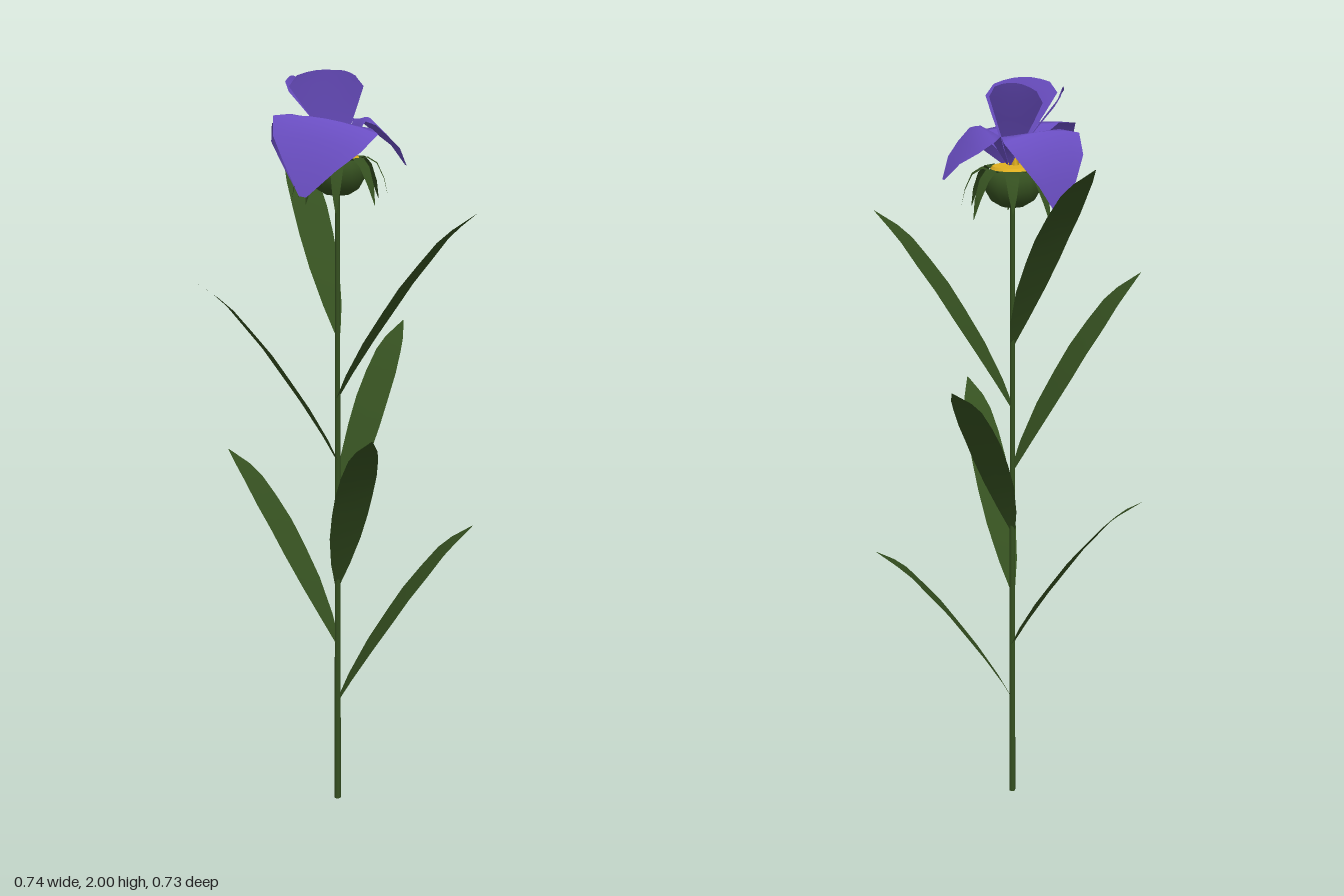
import * as THREE from 'three';

const mat = (name, color, side = THREE.FrontSide) => {
  const m = new THREE.MeshStandardMaterial({ color, side });
  m.name = name;
  return m;
};

// Blade swept outwards from the axis; rows are [radius, y, halfWidth, edgeLift].
function bladeGeometry(rows, across = 4) {
  const pos = [], idx = [], n = across + 1;
  rows.forEach(([r, y, w, lift = 0], i) => {
    for (let j = 0; j < n; j++) {
      const u = (j / across) * 2 - 1;
      pos.push(r, y + lift * u * u, -u * w);
      if (i && j) {
        const a = i * n + j;
        idx.push(a - n - 1, a - n, a, a - n - 1, a, a - 1);
      }
    }
  });
  const g = new THREE.BufferGeometry();
  g.setAttribute('position', new THREE.Float32BufferAttribute(pos, 3));
  g.setIndex(idx);
  g.computeVertexNormals();
  return g;
}

export function createModel() {
  const model = new THREE.Group();
  const green = mat('leaf green', 0x355020, THREE.DoubleSide);
  const purple = mat('petal purple', 0x6a4ec2, THREE.DoubleSide);
  const yellow = mat('pollen yellow', 0xe0b020);

  const add = (name, geometry, material, x = 0, y = 0, z = 0) => {
    const mesh = new THREE.Mesh(geometry, material);
    mesh.name = name;
    mesh.position.set(x, y, z);
    model.add(mesh);
    return mesh;
  };
  // Azimuth in degrees, measured from +x towards +z
  const turn = (mesh, degrees) => { mesh.rotation.y = -THREE.MathUtils.degToRad(degrees); };

  const axis = -0.004; // the stem stands slightly off centre in x and z
  add('stem', new THREE.CylinderGeometry(0.006, 0.009, 1.71, 8), green, axis, 0.855, axis);

  // Seven leaves climbing the stem in a golden-angle spiral
  const leaf = bladeGeometry([
    [0, 0, 0.008], [0.035, 0.068, 0.026], [0.09, 0.16, 0.042], [0.145, 0.242, 0.048],
    [0.19, 0.308, 0.049], [0.24, 0.37, 0.046], [0.285, 0.425, 0.038],
    [0.32, 0.457, 0.027], [0.373, 0.496, 0.001],
  ], 2);
  for (let i = 0; i < 7; i++) {
    turn(add('leaf', leaf, green, axis, 0.3 + i * 0.173, axis), -i * 137.5);
  }

  // Calyx bulb with recurved sepals
  const bulb = [[0, -0.052], [0.03, -0.048], [0.055, -0.033], [0.071, -0.005],
    [0.07, 0.022], [0.058, 0.04], [0, 0.045]].map(([x, y]) => new THREE.Vector2(x, y));
  add('calyx', new THREE.LatheGeometry(bulb, 16), green, axis, 1.742, axis);
  for (let i = 0; i < 8; i++) {
    const drop = (i % 3) * 0.018, reach = 0.012 * (i % 2);
    const sepal = bladeGeometry([
      [0.045, 1.778, 0.014], [0.07, 1.788, 0.018], [0.095, 1.773 - drop * 0.3, 0.016],
      [0.113 + reach * 0.5, 1.735 - drop * 0.7, 0.01], [0.122 + reach, 1.695 - drop, 0.001],
    ], 2);
    turn(add('sepal', sepal, green), i * 45 + 12);
  }

  // Pollen ring and small central tip
  add('pollenRing', new THREE.CylinderGeometry(0.05, 0.055, 0.007, 16), yellow, axis, 1.789, axis);
  add('pistil', new THREE.ConeGeometry(0.01, 0.05, 4), yellow, -0.009, 1.82, -0.011);

  // Three wide outer petals that arch over and hang down, each rolled a little differently
  [
    { azimuth: 0, tip: 1.765, width: 1, shift: -0.018, roll: 0 },
    { azimuth: 122, tip: 1.70, width: 1.1, shift: 0, roll: 0.14 },
    { azimuth: 240, tip: 1.69, width: 1, shift: 0.018, roll: 0 },
  ].forEach(({ azimuth, tip, width, shift, roll }) => {
    const k = 1.88 - tip;
    const geometry = bladeGeometry([
      [0.008, 1.795, 0.012], [0.03, 1.84, 0.05 * width], [0.06 + shift * 0.5, 1.878, 0.1 * width],
      [0.09 + shift, 1.885, 0.13 * width, -0.015], [0.125 + shift, 1.88 - k * 0.25, 0.108 * width, -0.01],
      [0.152 + shift * 0.5, 1.88 - k * 0.6, 0.064 * width], [0.17, tip, 0.01],
    ], 6);
    geometry.translate(0, -1.86, 0).rotateX(-roll).translate(0, 1.86, 0);
    turn(add('outerPetal', geometry, purple), azimuth);
  });

  // Three upright inner petals forming a cup that leans back to one side
  [[85, 0.08, 0.094, 2.0], [200, 0.07, 0.09, 1.985], [-30, 0.062, 0.09, 1.998]].forEach(([azimuth, r, w, top]) => {
    const h = top - 1.8;
    const geometry = bladeGeometry([
      [0.006, 1.8, 0.01], [r * 0.27, 1.8 + h * 0.25, w * 0.36],
      [r * 0.6, 1.8 + h * 0.55, w * 0.72], [r * 0.9, 1.8 + h * 0.82, w, -0.004],
      [r, top, w * 0.78, -0.014],
    ], 6);
    geometry.rotateY(-THREE.MathUtils.degToRad(azimuth));
    const p = geometry.attributes.position;
    for (let i = 0; i < p.count; i++) {
      const lean = Math.min(1, (p.getY(i) - 1.8) / 0.17) * -0.045;
      p.setX(i, p.getX(i) + lean);
      p.setZ(i, p.getZ(i) + lean);
    }
    geometry.computeVertexNormals();
    add('innerPetal', geometry, purple);
  });

  return model;
}
